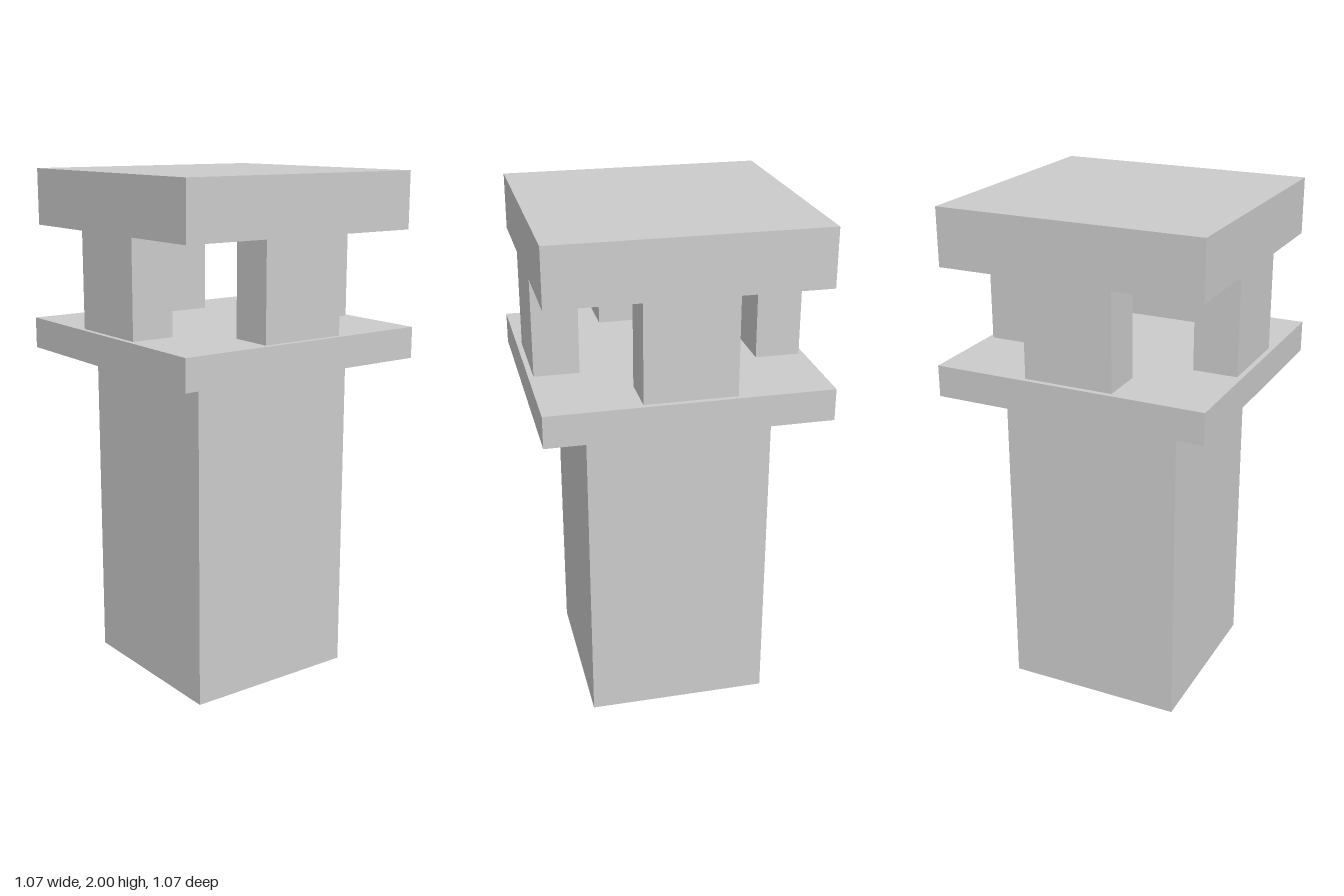
import * as THREE from 'three';

const material = new THREE.MeshStandardMaterial({ color: 0xcccccc, flatShading: true });

// Box standing between two heights
function block(name, width, depth, bottom, top) {
  const mesh = new THREE.Mesh(new THREE.BoxGeometry(width, top - bottom, depth), material);
  mesh.name = name;
  mesh.position.y = (bottom + top) / 2;
  return mesh;
}

export function createModel() {
  const tower = new THREE.Group();
  tower.name = 'watchtower';

  // Shaft, overhanging deck and roof slab
  tower.add(
    block('shaft', 0.706, 0.706, 0, 1.285),
    block('deck', 1.066, 1.066, 1.285, 1.407),
    block('roof', 1.026, 1.026, 1.78, 2)
  );

  // One pillar in the middle of each side, corners left open
  ['front', 'left', 'back', 'right'].forEach((side, i) => {
    const pillar = block(side + 'Pillar', 0.346, 0.172, 1.407, 1.78);
    const angle = (i * Math.PI) / 2;
    pillar.position.x = Math.sin(angle) * 0.427;
    pillar.position.z = Math.cos(angle) * 0.427;
    pillar.rotation.y = angle;
    tower.add(pillar);
  });

  return tower;
}
